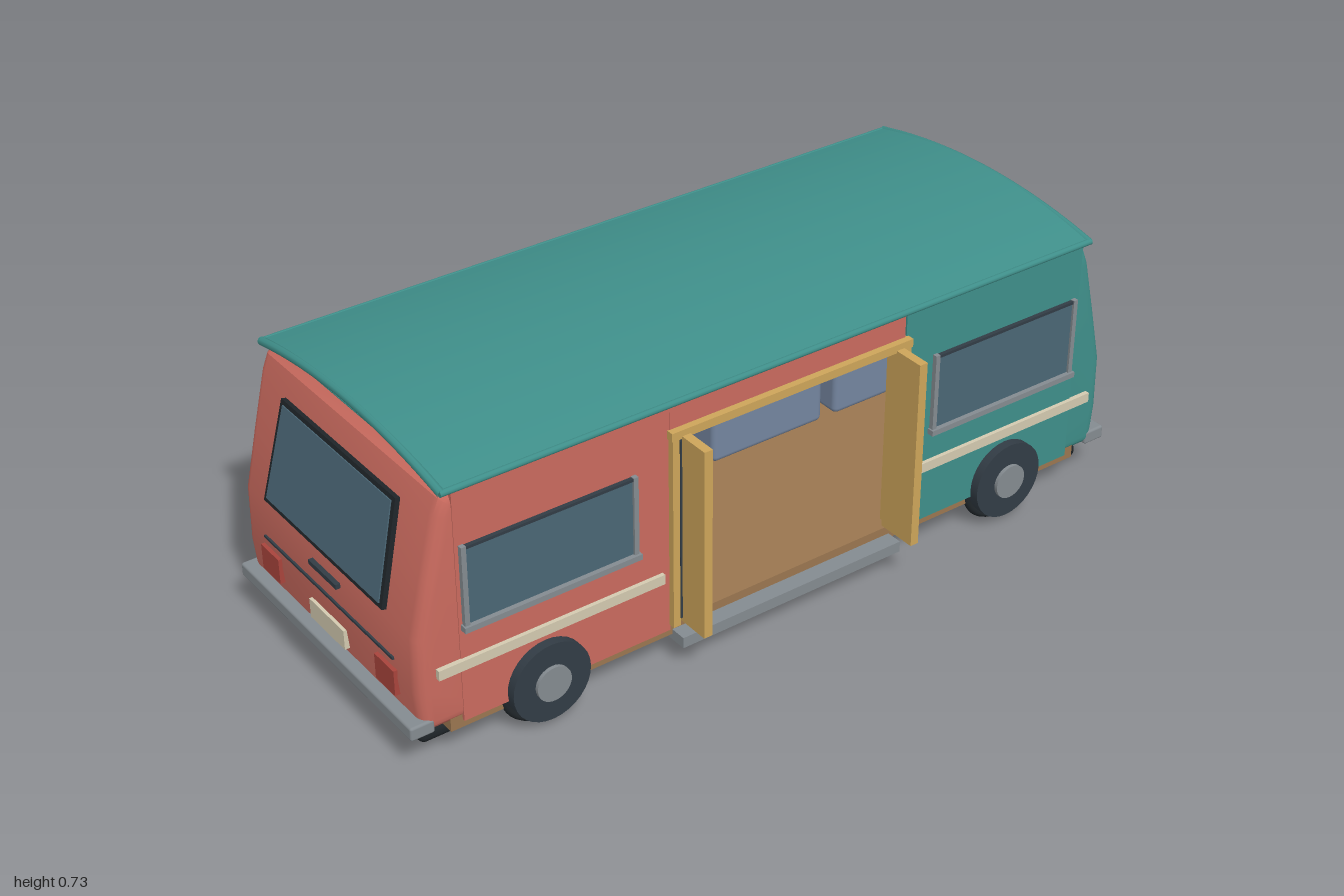
import * as THREE from 'three';
import { toCreasedNormals } from 'three/addons/utils/BufferGeometryUtils.js';
import { RoundedBoxGeometry } from 'three/addons/geometries/RoundedBoxGeometry.js';

const mat = (color) => new THREE.MeshStandardMaterial({ color });
const M = {
  teal: mat(0x3f8f8a), red: mat(0xc96a5e), tan: mat(0xcda55a), floor: mat(0x9a7650),
  dark: mat(0x323c45), black: mat(0x1f2529), grey: mat(0x848b90), glass: mat(0x4a6675),
  cream: mat(0xd3cab0), blue: mat(0x74859f), brown: mat(0x4d4436), tail: mat(0xa8443c),
};
const MID = -0.035; // centre of the body in z
const FRONT = 0.34, BACK = -0.41;

export function createModel() {
  const bus = new THREE.Group();
  bus.name = 'shuttleBus';

  const add = (name, geo, material, parent = bus) => {
    const m = new THREE.Mesh(geo, material);
    m.name = name;
    parent.add(m);
    return m;
  };
  // Box given by its limits; r > 0 rounds it
  const box = (name, material, [x0, x1], [y0, y1], [z0, z1], r = 0, parent = bus) => {
    const s = [x1 - x0, y1 - y0, z1 - z0];
    const m = add(name, r ? new RoundedBoxGeometry(...s, 3, r) : new THREE.BoxGeometry(...s), material, parent);
    m.position.set((x0 + x1) / 2, (y0 + y1) / 2, (z0 + z1) / 2);
    return m;
  };
  const shapeOf = (pts) => new THREE.Shape(pts.map((p) => new THREE.Vector2(...p)));

  // Chassis and floor
  box('chassis', M.black, [-0.955, 0.955], [0.037, 0.075], [-0.37, 0.3], 0.017);
  box('floor', M.floor, [-0.9, 0.9], [0.075, 0.11], [-0.4, 0.335]);

  // Side walls and ceiling
  const wallY = [0.095, 0.68];
  box('backWall', M.teal, [-0.87, 0.87], wallY, [BACK - 0.002, BACK + 0.03]);
  box('frontWallRight', M.red, [-0.87, -0.33], wallY, [FRONT - 0.03, FRONT + 0.002]);
  box('frontWallLeft', M.teal, [0.33, 0.87], wallY, [FRONT - 0.03, FRONT + 0.002]);
  box('doorHeader', M.red, [-0.33, 0.325], [0.61, 0.68], [FRONT - 0.03, FRONT + 0.003]);
  box('ceiling', M.teal, [-0.87, 0.87], [0.662, 0.679], [BACK + 0.01, FRONT - 0.01]);
  for (const x of [-0.31, 0.31]) box('panelSeam', M.dark, [x - 0.003, x + 0.003], wallY, [BACK - 0.004, BACK]);

  // Sloping end caps with rounded corners
  const b = 0.03;
  const profile = shapeOf([[0.79, 0.095], [0.965, 0.095], [0.975, 0.2], [0.972, 0.34], [0.94, 0.48],
    [0.905, 0.625], [0.89, 0.662], [0.865, 0.68], [0.79, 0.68]]);
  const capGeo = new THREE.ExtrudeGeometry(profile, {
    depth: FRONT - BACK - 2 * b, bevelThickness: b, bevelSize: b, bevelOffset: -b, bevelSegments: 4,
  }).translate(0, 0, BACK + b);
  const cap = toCreasedNormals(capGeo, 0.5);
  add('noseCap', cap, M.teal);
  const tail = add('tailCap', cap, M.red);
  tail.rotation.y = Math.PI;
  tail.position.z = 2 * MID;

  // Arched roof shell, with trim along its edges
  const arc = (y0, rise, half, n = 20) => Array.from({ length: n + 1 }, (_, i) => {
    const t = -1 + (2 * i) / n;
    return [t * half, y0 + rise * (1 - t * t)];
  });
  const roofShape = shapeOf([...arc(0.675, 0.04, 0.375), ...arc(0.688, 0.045, 0.378).reverse()]);
  const roofGeo = new THREE.ExtrudeGeometry(roofShape, { depth: 1.78, bevelEnabled: false })
    .translate(0, 0, -0.89).rotateY(Math.PI / 2).translate(0, 0, MID);
  add('roof', toCreasedNormals(roofGeo, 0.5), M.teal);
  for (const s of [-1, 1]) {
    const gutter = add('roofGutter', new THREE.CylinderGeometry(0.008, 0.008, 1.79, 10), M.teal);
    gutter.rotation.z = Math.PI / 2;
    gutter.position.set(0, 0.683, MID + s * 0.374);
    const curve = new THREE.CatmullRomCurve3(arc(0.682, 0.042, 0.376, 10)
      .map(([z, y]) => new THREE.Vector3(s * 0.89, y, z + MID)));
    add('roofEndTrim', new THREE.TubeGeometry(curve, 30, 0.01, 8), M.teal);
  }

  // Side windows: glass, frame and sill; dir is the outward z direction
  const sideWindow = (x, halfW, dir) => {
    const g = new THREE.Group();
    g.name = 'sideWindow';
    bus.add(g);
    box('glass', M.glass, [-halfW, halfW], [0.345, 0.538], [-0.002, 0.006], 0, g);
    for (const s of [-halfW, halfW]) box('windowPost', M.grey, [s - 0.006, s + 0.006], [0.335, 0.545], [0, 0.012], 0, g);
    box('windowTop', M.dark, [-halfW, halfW], [0.536, 0.543], [0, 0.01], 0, g);
    box('windowSill', M.grey, [-halfW - 0.01, halfW + 0.01], [0.333, 0.347], [0, 0.018], 0, g);
    g.position.set(x, 0, dir > 0 ? FRONT + 0.002 : BACK - 0.002);
    if (dir < 0) g.rotation.y = Math.PI;
  };
  for (const x of [-0.64, 0.635]) sideWindow(x, 0.215, 1);
  for (const x of [-0.615, 0, 0.61]) sideWindow(x, 0.2, -1);

  // Cream stripes along the entry side
  for (const [x0, x1] of [[-0.93, -0.35], [0.34, 0.925]]) box('sideStripe', M.cream, [x0, x1], [0.235, 0.26], [0.33, 0.352]);

  // Doorway: frame, folded doors and step
  for (const s of [-1, 1]) {
    const c = s * 0.322;
    box('doorPost', M.tan, [c - 0.01, c + 0.01], [0.11, 0.62], [0.3, 0.358]);
    const d = s * 0.298;
    box('foldedDoor', M.tan, [d - 0.011, d + 0.011], [0.12, 0.608], [0.335, 0.44]);
    const j = s * 0.311;
    box('doorHinge', M.dark, [j - 0.003, j + 0.003], [0.13, 0.6], [0.33, 0.36]);
  }
  box('doorLintel', M.tan, [-0.335, 0.335], [0.602, 0.623], [0.3, 0.36]);
  box('doorStep', M.grey, [-0.32, 0.31], [0.06, 0.088], [0.28, 0.377]);

  // Bench seats along the back wall
  for (const x of [-0.645, -0.31, 0.305, 0.645]) {
    const w = Math.abs(x) > 0.5 ? 0.13 : 0.17;
    box('seatCushion', M.blue, [x - w, x + w], [0.11, 0.25], [-0.37, -0.12], 0.015);
    box('seatBack', M.blue, [x - w, x + w], [0.24, 0.362], [-0.38, -0.3], 0.015);
  }

  // Overhead rail with hanging grips
  const rail = add('gripRail', new THREE.CylinderGeometry(0.007, 0.007, 1.6, 8), M.tan);
  rail.rotation.z = Math.PI / 2;
  rail.position.set(0, 0.635, MID);
  for (const x of [-0.53, -0.25, 0.03, 0.31]) {
    const grip = add('hangingGrip', new THREE.TorusGeometry(0.042, 0.004, 6, 6), M.brown);
    grip.rotation.z = Math.PI / 6;
    grip.position.set(x, 0.575, MID);
  }

  // Wheels with arch rings
  for (const x of [-0.66, 0.66]) {
    for (const s of [1, -1]) {
      const wheel = new THREE.Group();
      wheel.name = 'wheel';
      const disc = (name, r, depth, z, material) => {
        const m = add(name, new THREE.CylinderGeometry(r, r, depth, 32), material, wheel);
        m.rotation.x = Math.PI / 2;
        m.position.z = z;
      };
      disc('tyre', 0.1, 0.07, 0, M.dark);
      disc('hub', 0.044, 0.08, 0.004, M.grey);
      add('archRing', new THREE.TorusGeometry(0.107, 0.009, 8, 36), M.black, wheel).position.z = 0.001;
      wheel.position.set(x, 0.116, MID + s * 0.365);
      if (s < 0) wheel.rotation.y = Math.PI;
      bus.add(wheel);
    }
  }

  // End fittings, made facing +x around z = 0
  const trapezoid = (h, wBottom, wTop, depth) => new THREE.ExtrudeGeometry(
    shapeOf([[-wBottom, -h], [wBottom, -h], [wTop, h], [-wTop, h]]), { depth, bevelEnabled: false },
  ).rotateY(Math.PI / 2);
  const makeEnd = (name, wide) => {
    const end = new THREE.Group();
    end.name = name;
    end.position.z = MID;
    bus.add(end);
    box('bumper', M.grey, [0.94, 1], [0.097, 0.132], [-0.375, 0.375], 0.006, end);
    const screen = new THREE.Group();
    screen.name = 'windscreen';
    screen.position.set(0.94, 0.485, 0);
    screen.rotation.z = 0.235;
    end.add(screen);
    add('screenFrame', trapezoid(0.128, wide, wide - 0.014, 0.012), M.black, screen);
    add('screenGlass', trapezoid(0.117, wide - 0.012, wide - 0.026, 0.015), M.glass, screen);
    return { end, screen };
  };
  const nose = makeEnd('noseFittings', 0.29);
  box('screenDivider', M.grey, [0, 0.02], [-0.118, 0.118], [-0.005, 0.005], 0, nose.screen);
  box('visor', M.dark, [0.87, 0.92], [0.606, 0.646], [-0.213, 0.213], 0, nose.end);
  box('visorBar', M.tan, [0.9, 0.926], [0.621, 0.629], [-0.22, 0.22], 0, nose.end);
  box('grille', M.dark, [0.95, 0.983], [0.17, 0.244], [-0.185, 0.185], 0, nose.end);
  for (const z of [-0.132, -0.044, 0.044, 0.132]) box('grilleBar', M.grey, [0.96, 0.988], [0.179, 0.235], [z - 0.005, z + 0.005], 0, nose.end);
  for (const s of [-1, 1]) box('headlight', M.cream, [0.94, 0.986], [0.163, 0.217], [s * 0.24 - 0.05, s * 0.24 + 0.05], 0, nose.end);

  const rear = makeEnd('tailFittings', 0.255);
  rear.end.rotation.y = Math.PI;
  box('hatchSeam', M.dark, [0.95, 0.979], [0.247, 0.253], [-0.28, 0.28], 0, rear.end);
  box('rearPlate', M.cream, [0.95, 0.983], [0.15, 0.2], [-0.075, 0.075], 0, rear.end);
  box('hatchHandle', M.dark, [0.95, 0.984], [0.302, 0.314], [-0.06, 0.06], 0, rear.end);
  for (const s of [-1, 1]) box('tailLight', M.tail, [0.95, 0.984], [0.16, 0.225], [s * 0.25 - 0.04, s * 0.25 + 0.04], 0, rear.end);

  return bus;
}
